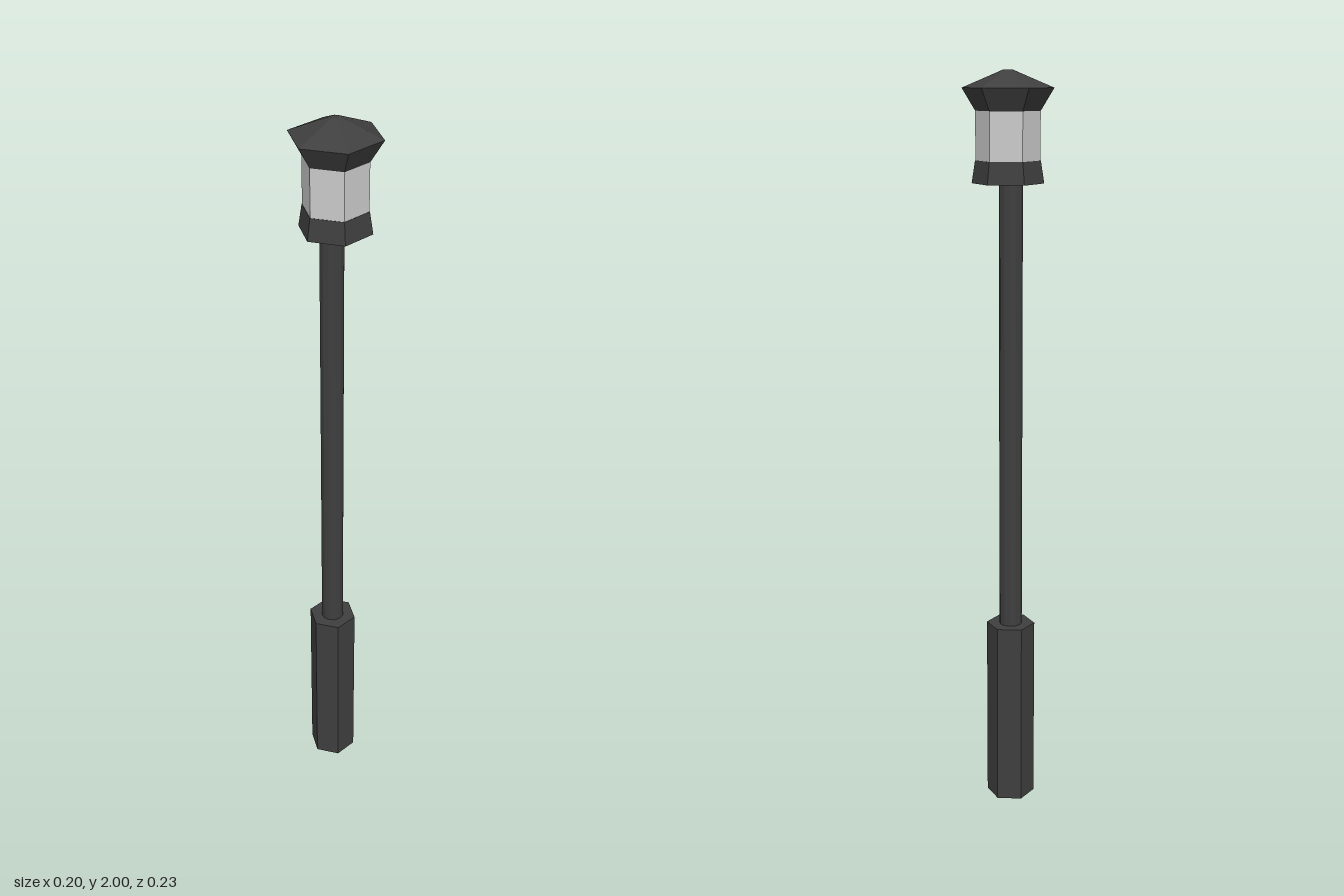
import * as THREE from 'three';

export function createModel() {
  const group = new THREE.Group();
  group.name = 'streetLamp';
  const metal = new THREE.MeshStandardMaterial({ color: 0x403f3f, flatShading: true });
  const glass = new THREE.MeshStandardMaterial({ color: 0xcccccc, flatShading: true });

  // Upright prism or frustum from y0 to y1, with a corner facing the front
  function section(name, rBottom, rTop, y0, y1, sides, material, x = 0, z = 0) {
    const mesh = new THREE.Mesh(new THREE.CylinderGeometry(rTop, rBottom, y1 - y0, sides), material);
    mesh.name = name;
    mesh.position.set(x, (y0 + y1) / 2, z);
    group.add(mesh);
  }

  // Post, set slightly off the lantern's axis
  section('base', 0.066, 0.066, 0, 0.515, 6, metal, -0.01, 0.003);
  section('pole', 0.031, 0.031, 0.515, 1.72, 12, metal, -0.01, 0.003);

  // Lantern
  section('lanternFoot', 0.093, 0.084, 1.72, 1.777, 6, metal);
  section('lanternGlass', 0.083, 0.083, 1.777, 1.9, 6, glass);
  section('lanternCollar', 0.083, 0.117, 1.9, 1.956, 6, metal);
  section('lanternRoof', 0.117, 0.012, 1.956, 2, 6, metal);

  return group;
}
